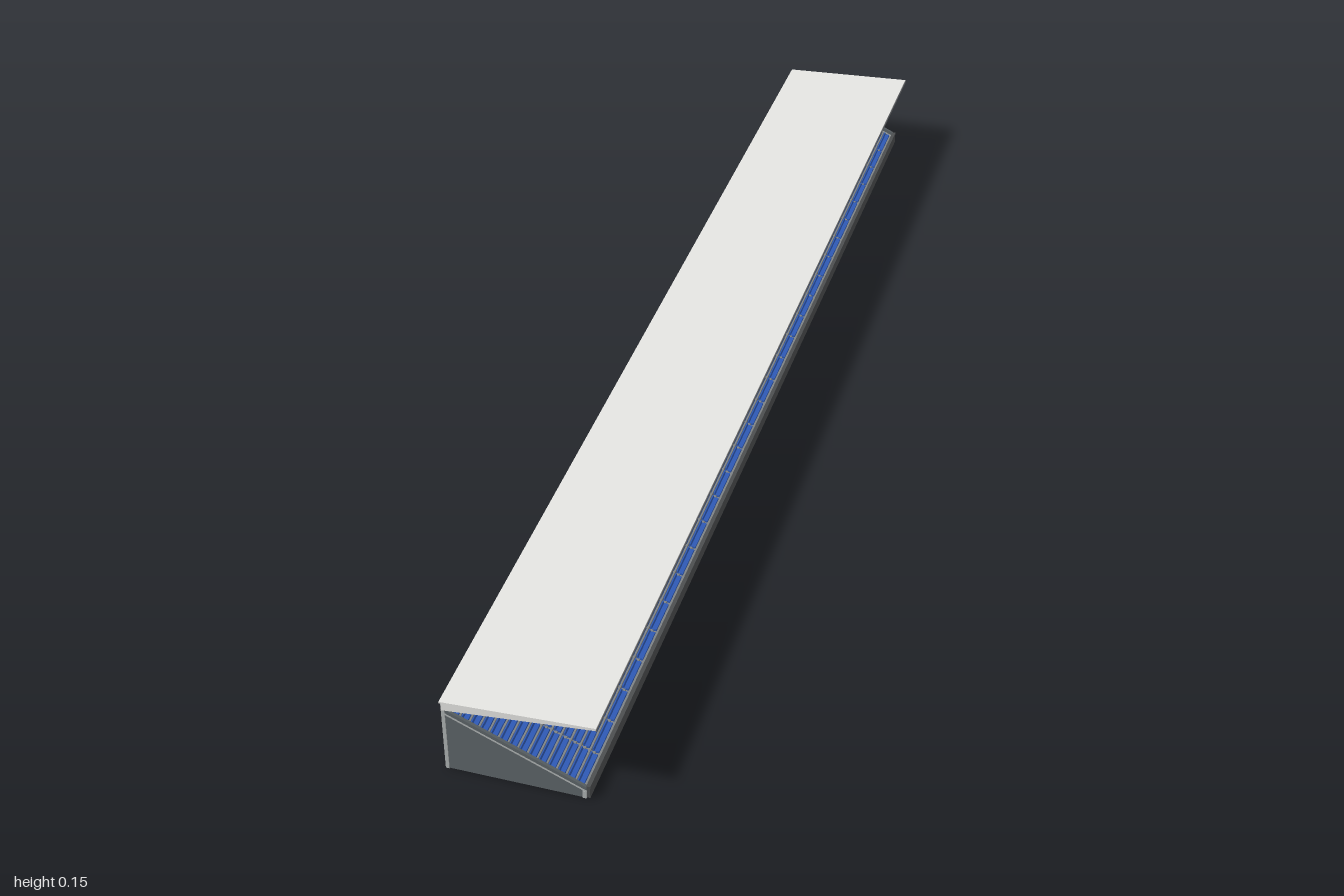
import * as THREE from 'three';

const paint = (name, color) => {
  const m = new THREE.MeshStandardMaterial({ color });
  m.name = name;
  return m;
};

export function createModel() {
  const roofGrey = paint('roofGrey', 0xe3e3e0);
  const darkSteel = paint('darkSteel', 0x4c4e4f);
  const steel = paint('steel', 0x727476);
  const concrete = paint('concrete', 0x7e8284);
  const panelGrey = paint('panelGrey', 0x5c6367);
  const railGrey = paint('railGrey', 0xacb0b0);
  const blue = paint('seatBlue', 0x2e59b4);

  const model = new THREE.Group();
  model.name = 'grandstand';
  // The stand lies slightly askew to the axes
  const stand = new THREE.Group();
  stand.name = 'stand';
  stand.rotation.y = -0.0858;
  model.add(stand);

  const group = (name) => {
    const g = new THREE.Group();
    g.name = name;
    stand.add(g);
    return g;
  };
  const add = (parent, name, geo, mat, x = 0, y = 0, z = 0) => {
    const m = new THREE.Mesh(geo, mat);
    m.name = name;
    m.position.set(x, y, z);
    parent.add(m);
    return m;
  };
  // Box given by its ranges in x and y, and centre and length in z
  const bar = (parent, name, mat, x0, x1, y0, y1, z, len) =>
    add(parent, name, new THREE.BoxGeometry(x1 - x0, y1 - y0, len), mat, (x0 + x1) / 2, (y0 + y1) / 2, z);
  // Cross-section in x, y extruded along z, centred on z = 0
  const section = (points, len) => {
    const s = new THREE.Shape(points.map(([x, y]) => new THREE.Vector2(x, y)));
    return new THREE.ExtrudeGeometry(s, { depth: len, bevelEnabled: false }).translate(0, 0, -len / 2);
  };

  const half = 0.985, bays = 28, pitch = (2 * half) / bays;
  const rows = 14, x0 = 0.098, y0 = 0.015, dx = 0.0149, dy = 0.0064;
  const bayLine = (i) => -half + i * pitch;

  // Stepped terrace with a sloping underside
  const profile = [[0.103, 0.003], [0.103, y0], [x0, y0]];
  for (let r = 0; r < rows; r++) {
    profile.push([x0 - r * dx, y0 + r * dy], [x0 - (r + 1) * dx, y0 + r * dy]);
  }
  profile.push([x0 - rows * dx, y0 + rows * dy - 0.012]);
  add(stand, 'terrace', section(profile, 2 * half), concrete);

  // Seat rows, broken by the aisles
  const seats = group('seats');
  const seatGeo = section([[0.0105, 0], [0.0105, 0.0034], [0.003, 0.0034], [0.002, 0.0078], [0, 0.0078], [0, 0]], pitch - 0.006);
  for (let b = 0; b < bays; b++) {
    for (let r = 0; r < rows; r++) {
      add(seats, 'seatRow', seatGeo, blue, x0 - (r + 1) * dx + 0.0015, y0 + r * dy, bayLine(b + 0.5));
    }
  }

  // Aisle steps between the bays
  const aisles = group('aisles');
  const stepGeo = new THREE.BoxGeometry(dx * 0.5, dy * 0.5, 0.005);
  for (let b = 1; b < bays; b++) {
    for (let r = 0; r < rows; r++) {
      add(aisles, 'aisleStep', stepGeo, concrete, x0 - (r + 0.75) * dx, y0 + (r + 0.25) * dy, bayLine(b));
    }
  }

  // Front wall with its top rail
  bar(stand, 'frontWall', darkSteel, 0.102, 0.107, 0, 0.019, 0, 2 * half + 0.006);
  bar(stand, 'frontRail', darkSteel, 0.101, 0.1075, 0.019, 0.0225, 0, 2 * half + 0.006);

  // End walls with a dark edge, a pale strip along the slope and corner columns
  const wallGeo = section([[-0.117, 0], [0.102, 0], [0.102, 0.014], [-0.112, 0.11], [-0.117, 0.11]], 0.004);
  const stripGeo = section([[0.102, 0.0125], [0.102, 0.0155], [-0.115, 0.112], [-0.115, 0.109]], 0.006);
  const edgeGeo = section([[0.102, 0.0155], [0.102, 0.022], [-0.115, 0.1185], [-0.115, 0.112]], 0.005);
  for (const side of [-1, 1]) {
    const z = side * (half + 0.002);
    add(stand, 'endWall', wallGeo, panelGrey, 0, 0, z);
    add(stand, 'endStrip', stripGeo, railGrey, 0, 0, z);
    add(stand, 'endEdge', edgeGeo, panelGrey, 0, 0, z);
    bar(stand, 'cornerColumn', railGrey, -0.1195, -0.114, 0, 0.134, z, 0.007);
    bar(stand, 'frontColumn', railGrey, 0.096, 0.102, 0, 0.014, z, 0.007);
  }

  // Rear posts, rails and sloping beams below the terrace
  const frame = group('rearFrame');
  const beamGeo = section([[0.1, 0], [0.1, 0.006], [-0.112, 0.098], [-0.112, 0.092]], 0.003);
  for (let i = 1; i < bays; i++) {
    bar(frame, 'rearPost', steel, -0.119, -0.111, 0, 0.118, bayLine(i), 0.005);
    add(frame, 'slopingBeam', beamGeo, steel, 0, 0, bayLine(i));
  }
  for (let i = 0; i < 4; i++) {
    const y = 0.022 + i * 0.022;
    bar(frame, 'rearRail', railGrey, -0.1165, -0.1148, y, y + 0.0013, 0, 2 * half);
  }
  bar(frame, 'rearBeam', steel, -0.1175, -0.1125, 0.107, 0.118, 0, 2 * half);

  // Roof sheet, fascias and tapered ribs
  const roof = group('roof');
  add(roof, 'roofSheet', section([[-0.1215, 0.132], [0.1215, 0.145], [0.1215, 0.148], [-0.1215, 0.135]], 1.984), roofGrey);
  bar(roof, 'frontFascia', steel, 0.1205, 0.1225, 0.1425, 0.1475, 0, 1.984);
  bar(roof, 'rearFascia', railGrey, -0.118, -0.115, 0.117, 0.133, 0, 2 * half);
  const ribGeo = section([[-0.119, 0.118], [0.12, 0.1425], [0.12, 0.146], [-0.119, 0.133]], 0.004);
  for (let i = 0; i <= bays; i++) {
    add(roof, 'roofRib', ribGeo, roofGrey, 0, 0, bayLine(i) * 1.004);
  }
  return model;
}
